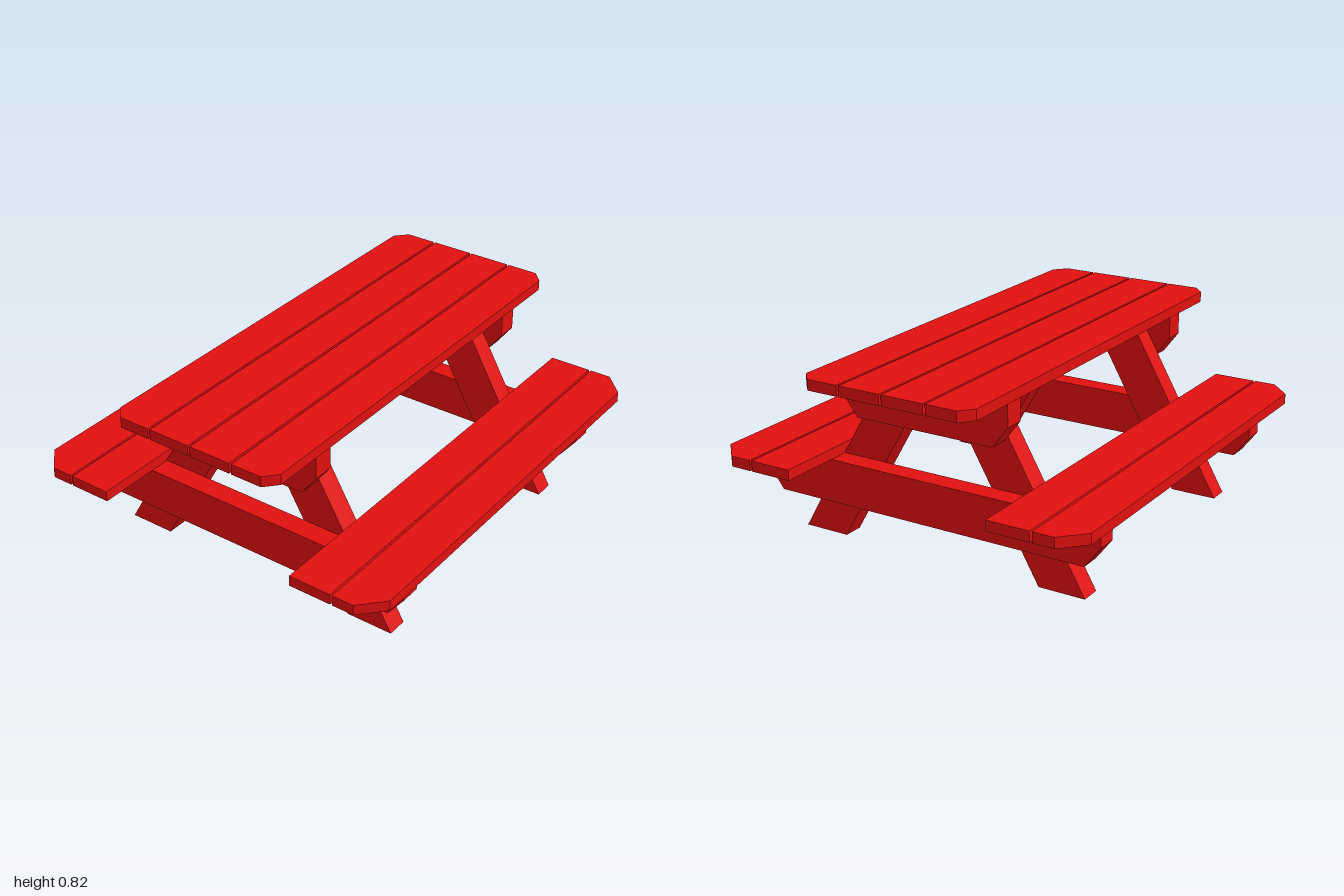
import * as THREE from 'three';

const red = new THREE.MeshStandardMaterial({ color: 0xe01010, flatShading: true });

// Board cut from a 2D outline and extruded to a thickness
function board(points, depth) {
  const shape = new THREE.Shape(points.map(([x, y]) => new THREE.Vector2(x, y)));
  return new THREE.ExtrudeGeometry(shape, { depth, bevelEnabled: false });
}

function add(group, name, geometry) {
  const mesh = new THREE.Mesh(geometry, red);
  mesh.name = name;
  group.add(mesh);
}

// Lengthwise plank from x0 to x1; its outer corners are cut by cx, cz. side is +1 or -1
function plank(group, name, side, x0, x1, y, thickness, cx, cz) {
  const outline = [[x0, -1], [x1 - cx, -1], [x1, -1 + cz], [x1, 1 - cz], [x1 - cx, 1], [x0, 1]];
  const geometry = board(outline.map(([x, z]) => [side * x, z]), thickness);
  geometry.rotateX(-Math.PI / 2).translate(0, y, 0);
  add(group, name, geometry);
}

// Cross beam with its lower ends cut off
function beam(group, name, halfWidth, bottom, top, z) {
  const cut = 0.07, cutTop = bottom + 0.093;
  const outline = [
    [-halfWidth + cut, bottom], [halfWidth - cut, bottom], [halfWidth, cutTop],
    [halfWidth, top], [-halfWidth, top], [-halfWidth, cutTop],
  ];
  add(group, name, board(outline, 0.092).translate(0, 0, z));
}

export function createModel() {
  const model = new THREE.Group();
  model.name = 'picnicTable';

  const tabletop = new THREE.Group();
  tabletop.name = 'tabletop';
  model.add(tabletop);

  // Tabletop and bench planks, mirrored left and right
  for (const side of [1, -1]) {
    plank(tabletop, 'innerTablePlank', side, 0.005, 0.195, 0.778, 0.046, 0, 0);
    plank(tabletop, 'outerTablePlank', side, 0.205, 0.395, 0.778, 0.046, 0.05, 0.055);

    const bench = new THREE.Group();
    bench.name = side > 0 ? 'leftBench' : 'rightBench';
    plank(bench, 'innerBenchPlank', side, 0.465, 0.655, 0.377, 0.046, 0, 0);
    plank(bench, 'outerBenchPlank', side, 0.665, 0.855, 0.377, 0.046, 0.095, 0.1);
    model.add(bench);
  }

  // Front and back frames: splayed legs with beams on their outer faces
  const lean = Math.tan(Math.PI / 6), legTop = 0.778;
  for (const end of [1, -1]) {
    const frame = new THREE.Group();
    frame.name = end > 0 ? 'frontFrame' : 'backFrame';
    const beamZ = end > 0 ? 0.635 : -0.727;
    beam(frame, 'tableBeam', 0.392, 0.588, 0.778, beamZ);
    beam(frame, 'benchBeam', 0.8, 0.188, 0.377, beamZ);
    for (const side of [1, -1]) {
      const outline = [
        [0.475, 0], [0.685, 0],
        [0.685 - lean * legTop, legTop], [0.475 - lean * legTop, legTop],
      ];
      const leg = board(outline.map(([x, y]) => [side * x, y]), 0.09);
      add(frame, side > 0 ? 'leftLeg' : 'rightLeg', leg.translate(0, 0, end > 0 ? 0.545 : -0.635));
    }
    model.add(frame);
  }
  return model;
}
